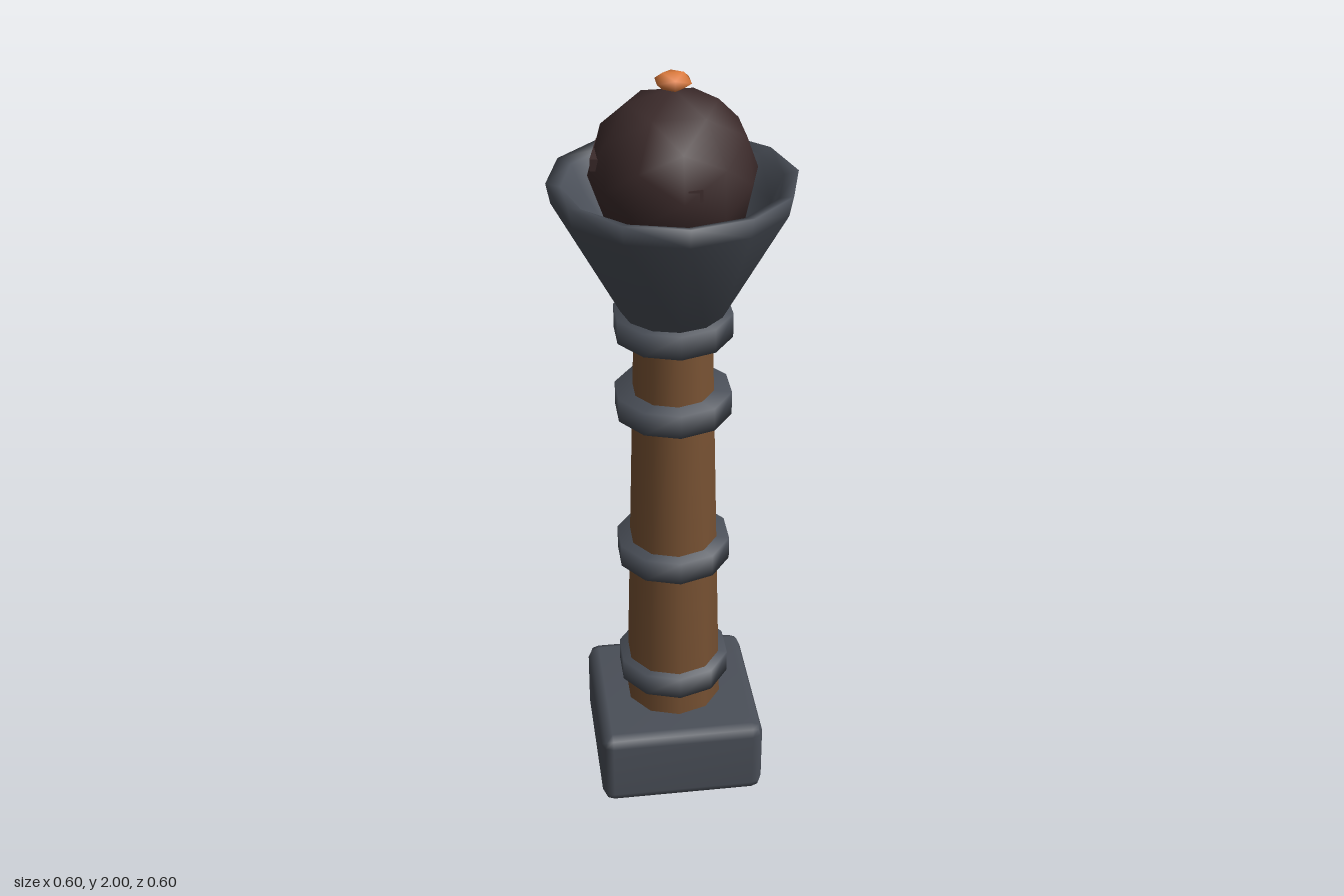
import * as THREE from 'three';
import { mergeVertices } from 'three/addons/utils/BufferGeometryUtils.js';
import { RoundedBoxGeometry } from 'three/addons/geometries/RoundedBoxGeometry.js';

// Weld all corners so normals run smoothly over every edge
function soften(geometry) {
  geometry.deleteAttribute('uv');
  geometry.deleteAttribute('normal');
  geometry.clearGroups();
  const welded = mergeVertices(geometry, 1e-4);
  welded.computeVertexNormals();
  return welded;
}

function material(name, color) {
  const m = new THREE.MeshStandardMaterial({ color });
  m.name = name;
  return m;
}

export function createModel() {
  const iron = material('iron', 0x4a4f58);
  const wood = material('wood', 0x785233);
  const coal = material('coal', 0x3c2b2b);
  const ember = material('ember', 0xe07c3c);

  const model = new THREE.Group();
  model.name = 'torch';
  function add(name, geometry, mat, x = 0, y = 0, z = 0) {
    const mesh = new THREE.Mesh(geometry, mat);
    mesh.name = name;
    mesh.position.set(x, y, z);
    model.add(mesh);
    return mesh;
  }

  // Square foot with chamfered edges
  add('base', soften(new RoundedBoxGeometry(0.44, 0.22, 0.44, 1, 0.03)), iron, 0, 0.11, 0);

  // Tapered ten-sided shaft
  add('shaft', soften(new THREE.CylinderGeometry(0.098, 0.13, 1.2, 10)), wood, 0, 0.81, 0);

  // Iron bands round the shaft
  for (const y of [0.325, 0.705, 1.147, 1.367]) {
    add('band', soften(new THREE.CylinderGeometry(0.15, 0.15, 0.063, 10)), iron, 0, y, 0);
  }

  // Hollow flared bowl
  const profile = [
    [0, 1.40], [0.13, 1.40], [0.29, 1.695], [0.3, 1.745],
    [0.265, 1.735], [0.235, 1.67], [0.13, 1.52], [0, 1.52],
  ].map(([r, y]) => new THREE.Vector2(r, y));
  add('bowl', soften(new THREE.LatheGeometry(profile, 12)), iron);

  // Coal mound with an ember on top
  add('coal', soften(new THREE.IcosahedronGeometry(0.202, 1)), coal, 0, 1.76, 0);
  const tip = add('ember', soften(new THREE.IcosahedronGeometry(0.047, 0)), ember, 0, 1.98, 0);
  tip.scale.y = 0.5;

  // Small ridges breaking through the coal: x, y, z, length, turn
  const ridges = [
    [-0.175, 1.8, -0.025, 0.13, 0.21],
    [-0.122, 1.785, 0.125, 0.07, -0.8],
    [0.025, 1.775, 0.18, 0.035, 1.4],
  ];
  for (const [x, y, z, length, turn] of ridges) {
    const ridge = add('coalRidge', new THREE.BoxGeometry(0.02, 0.03, length), coal, x, y, z);
    ridge.rotation.y = -turn;
  }

  return model;
}
